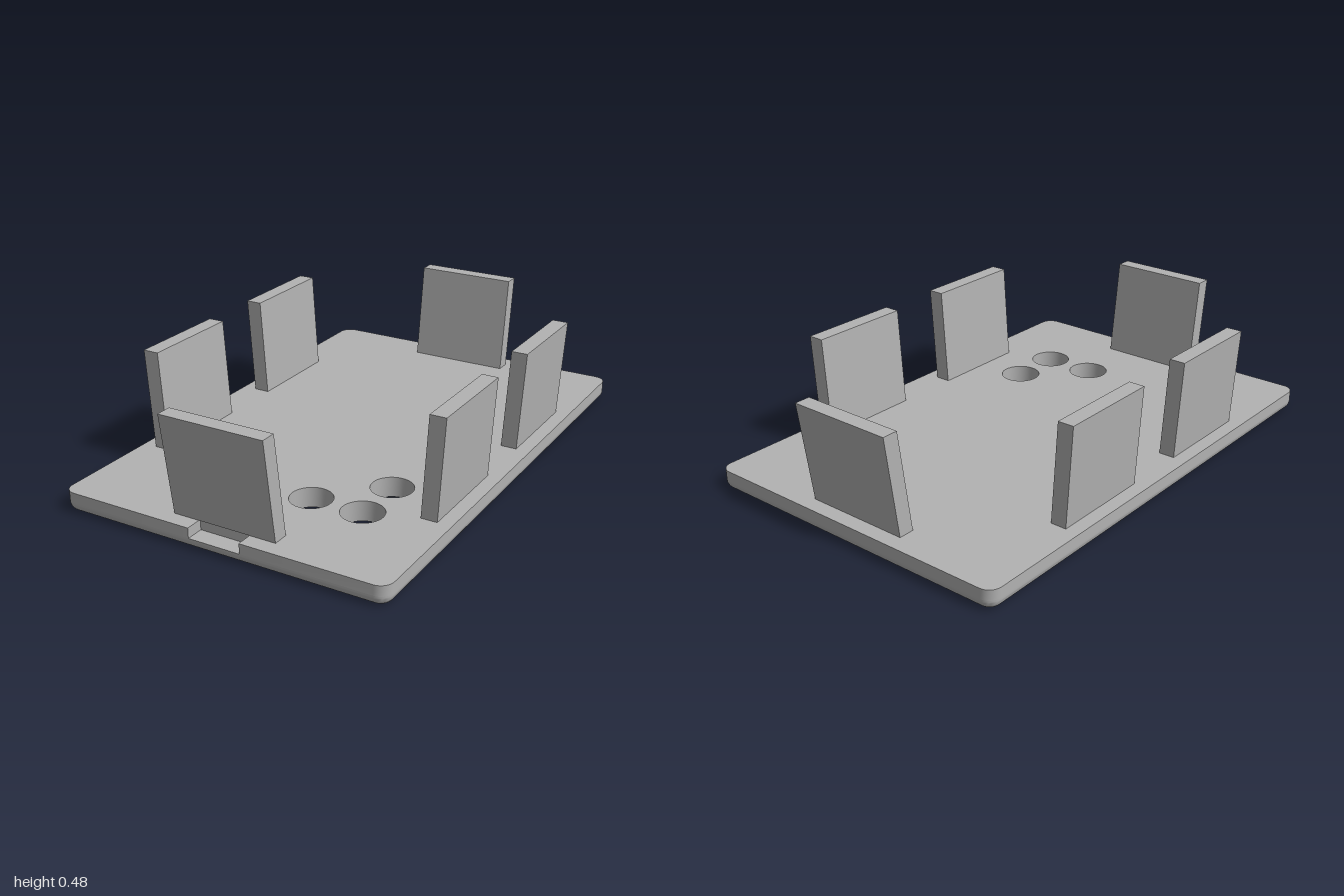
import * as THREE from 'three';
import { toCreasedNormals, mergeGeometries } from 'three/addons/utils/BufferGeometryUtils.js';

const W = 0.665, L = 1, TOP = 0.08, LEDGE = 0.04, CORNER = 0.05, FILLET = 0.035;
const NOTCH_W = 0.105, NOTCH_Z = 0.93;
const HOLES = [[0.35, 0.39], [0.35, 0.605], [0.14, 0.605]];
const HOLE_R = 0.081;

// Rounded rectangle in (x, z), drawn inwards by d, with an optional notch in the front edge
function outline(d, notch) {
  const r = CORNER - d, pts = [];
  [[1, 1], [-1, 1], [-1, -1], [1, -1]].forEach(([sx, sz], c) => {
    for (let i = 0; i <= 8; i++) {
      const a = (c + i / 8) * Math.PI / 2;
      pts.push(new THREE.Vector2(sx * (W - CORNER) + r * Math.cos(a), sz * (L - CORNER) + r * Math.sin(a)));
    }
    if (notch && c === 0) {
      for (const [x, z] of [[NOTCH_W, L], [NOTCH_W, NOTCH_Z], [-NOTCH_W, NOTCH_Z], [-NOTCH_W, L]]) {
        pts.push(new THREE.Vector2(x, z));
      }
    }
  });
  return pts;
}

function circle([x, z]) {
  return Array.from({ length: 40 }, (_, i) => {
    const a = -i / 40 * Math.PI * 2;
    return new THREE.Vector2(x + HOLE_R * Math.cos(a), z + HOLE_R * Math.sin(a));
  });
}

// Wall through a stack of closed loops, listed from low to high
function wall(rings) {
  const pos = [], n = rings[0].pts.length;
  for (let k = 0; k < rings.length - 1; k++) {
    for (let i = 0; i < n; i++) {
      const j = (i + 1) % n;
      const at = (ring, m) => [ring.pts[m].x, ring.y, ring.pts[m].y];
      const lo = rings[k], hi = rings[k + 1];
      pos.push(...at(lo, i), ...at(hi, i), ...at(lo, j), ...at(lo, j), ...at(hi, i), ...at(hi, j));
    }
  }
  const g = new THREE.BufferGeometry();
  g.setAttribute('position', new THREE.Float32BufferAttribute(pos, 3));
  return toCreasedNormals(g, 0.7);
}

// Flat face with the three holes, facing up or down
function cap(pts, y, up) {
  const shape = new THREE.Shape(pts);
  shape.holes = HOLES.map((h) => new THREE.Path(circle(h)));
  const g = new THREE.ShapeGeometry(shape).rotateX(Math.PI / 2).translate(0, y, 0);
  if (up) {
    const idx = g.index.array;
    for (let i = 0; i < idx.length; i += 3) [idx[i], idx[i + 1]] = [idx[i + 1], idx[i]];
    g.computeVertexNormals();
  }
  g.deleteAttribute('uv');
  return g.toNonIndexed();
}

export function createModel() {
  const group = new THREE.Group();
  const grey = new THREE.MeshStandardMaterial({ color: 0xb2b2b2 });
  grey.name = 'plain grey';
  const add = (name, geometry) => {
    const mesh = new THREE.Mesh(geometry, grey);
    mesh.name = name;
    group.add(mesh);
    return mesh;
  };

  // Plate: rounded lower edge, straight upper edge with the notch, flat faces
  const rings = [];
  for (let i = 0; i <= 8; i++) {
    const a = i / 8 * Math.PI / 2;
    rings.push({ pts: outline(FILLET * (1 - Math.sin(a))), y: FILLET * (1 - Math.cos(a)) });
  }
  rings.push({ pts: outline(0), y: LEDGE });
  const notched = outline(0, true);
  add('plate', mergeGeometries([
    wall(rings),
    wall([{ pts: notched, y: LEDGE }, { pts: notched, y: TOP }]),
    cap(notched, TOP, true),
    cap(outline(FILLET), 0, false),
  ]));

  // Floor of the front notch
  add('notchFloor', new THREE.PlaneGeometry(2 * NOTCH_W, L - NOTCH_Z)
    .rotateX(-Math.PI / 2).translate(0, LEDGE, (L + NOTCH_Z) / 2));

  // Walls of the round holes
  HOLES.forEach((h) => {
    const pts = circle(h);
    add('holeWall', wall([{ pts, y: 0 }, { pts, y: TOP }]));
  });

  // Upright tabs leaning outwards
  function tab(name, width, thick, lean, out, along, turn) {
    const h = 0.395;
    const g = new THREE.BoxGeometry(width, h, thick).translate(0, h / 2, 0);
    const p = g.attributes.position;
    for (let i = 0; i < p.count; i++) p.setZ(i, p.getZ(i) + lean * p.getY(i) / h);
    g.computeVertexNormals();
    g.translate(along, TOP, out).rotateY(turn);
    add(name, g);
  }
  tab('frontTab', 0.42, 0.062, 0.053, 0.907, 0, 0);
  tab('backTab', 0.42, 0.062, 0.053, 0.907, 0, Math.PI);
  for (const side of [1, -1]) {
    for (const z of [0.338, -0.338]) {
      tab(side > 0 ? 'leftTab' : 'rightTab', 0.413, 0.064, 0.025, 0.577, z, side * Math.PI / 2);
    }
  }
  return group;
}
